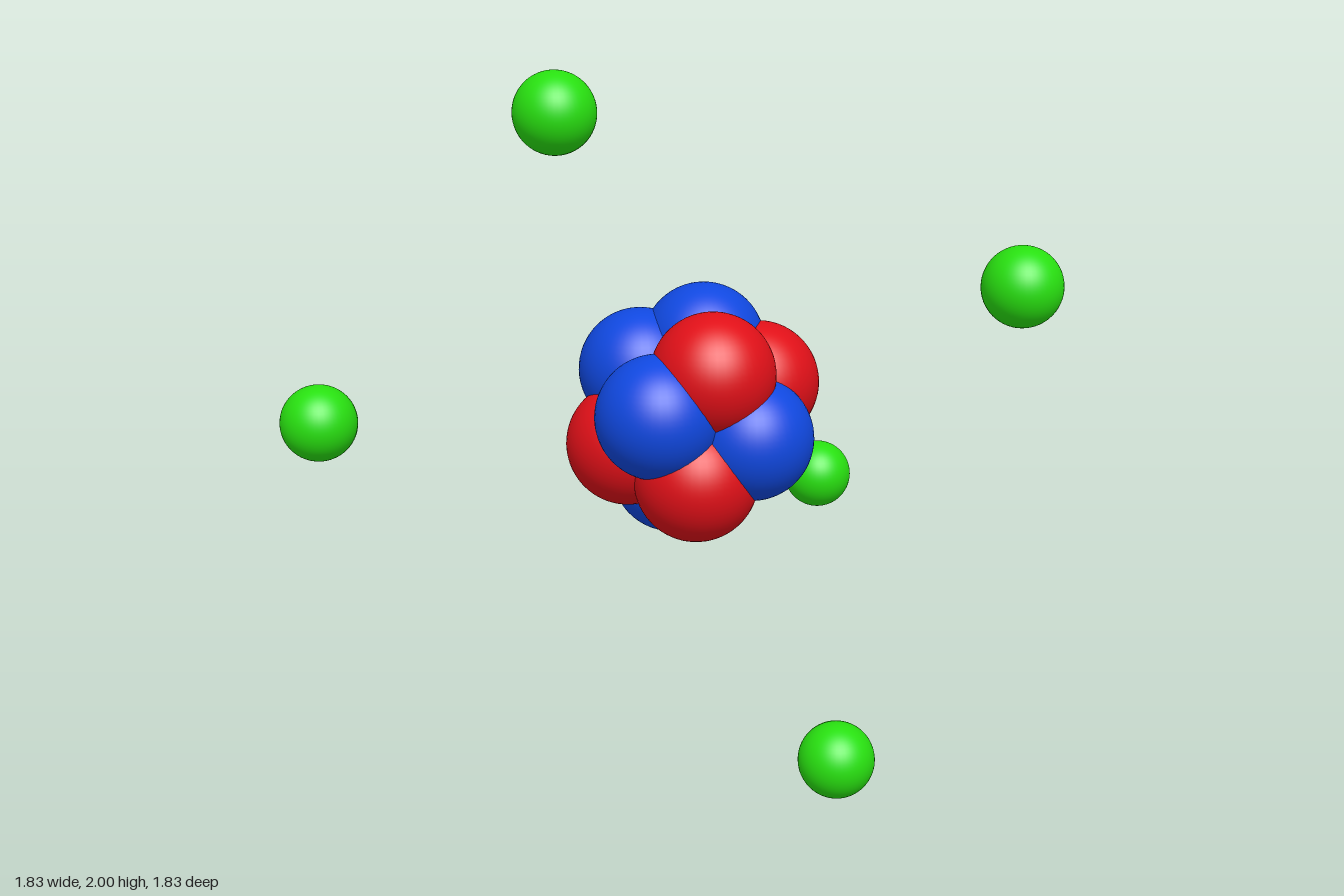
import * as THREE from 'three';

const NUCLEON_RADIUS = 0.172;
const ELECTRON_RADIUS = 0.106;

// Sphere centres [x, y, z] for each kind of particle
const PROTONS = [
  [0.037, 1.148, 0.14],
  [-0.21, 0.926, 0.217],
  [0.011, 0.857, 0.182],
  [-0.245, 1.0, -0.041],
  [0.012, 1.08, -0.079],
];
const NEUTRONS = [
  [-0.119, 1.185, 0.0],
  [-0.244, 1.116, 0.127],
  [-0.047, 1.042, 0.271],
  [0.106, 0.965, 0.06],
  [-0.169, 0.82, 0.08],
  [-0.09, 0.894, -0.083],
];
const ELECTRONS = [
  [-0.085, 1.894, 0.597],
  [0.806, 1.45, -0.176],
  [-0.813, 1.002, 0.811],
  [-0.343, 0.558, -0.811],
  [0.43, 0.111, 0.082],
];

// Adds one sphere per centre, sharing geometry and material
function addParticles(parent, name, centres, radius, color) {
  const geometry = new THREE.SphereGeometry(radius, 48, 32);
  const material = new THREE.MeshStandardMaterial({ color });
  centres.forEach((centre, i) => {
    const mesh = new THREE.Mesh(geometry, material);
    mesh.name = `${name}${i + 1}`;
    mesh.position.set(...centre);
    parent.add(mesh);
  });
}

export function createModel() {
  const model = new THREE.Group();
  model.name = 'atom';

  // Nucleus: a tight cluster of overlapping protons and neutrons
  const nucleus = new THREE.Group();
  nucleus.name = 'nucleus';
  addParticles(nucleus, 'proton', PROTONS, NUCLEON_RADIUS, 0xe01018);
  addParticles(nucleus, 'neutron', NEUTRONS, NUCLEON_RADIUS, 0x1048e0);
  model.add(nucleus);

  // Electrons scattered around the nucleus
  const electrons = new THREE.Group();
  electrons.name = 'electrons';
  addParticles(electrons, 'electron', ELECTRONS, ELECTRON_RADIUS, 0x28e010);
  model.add(electrons);

  return model;
}
